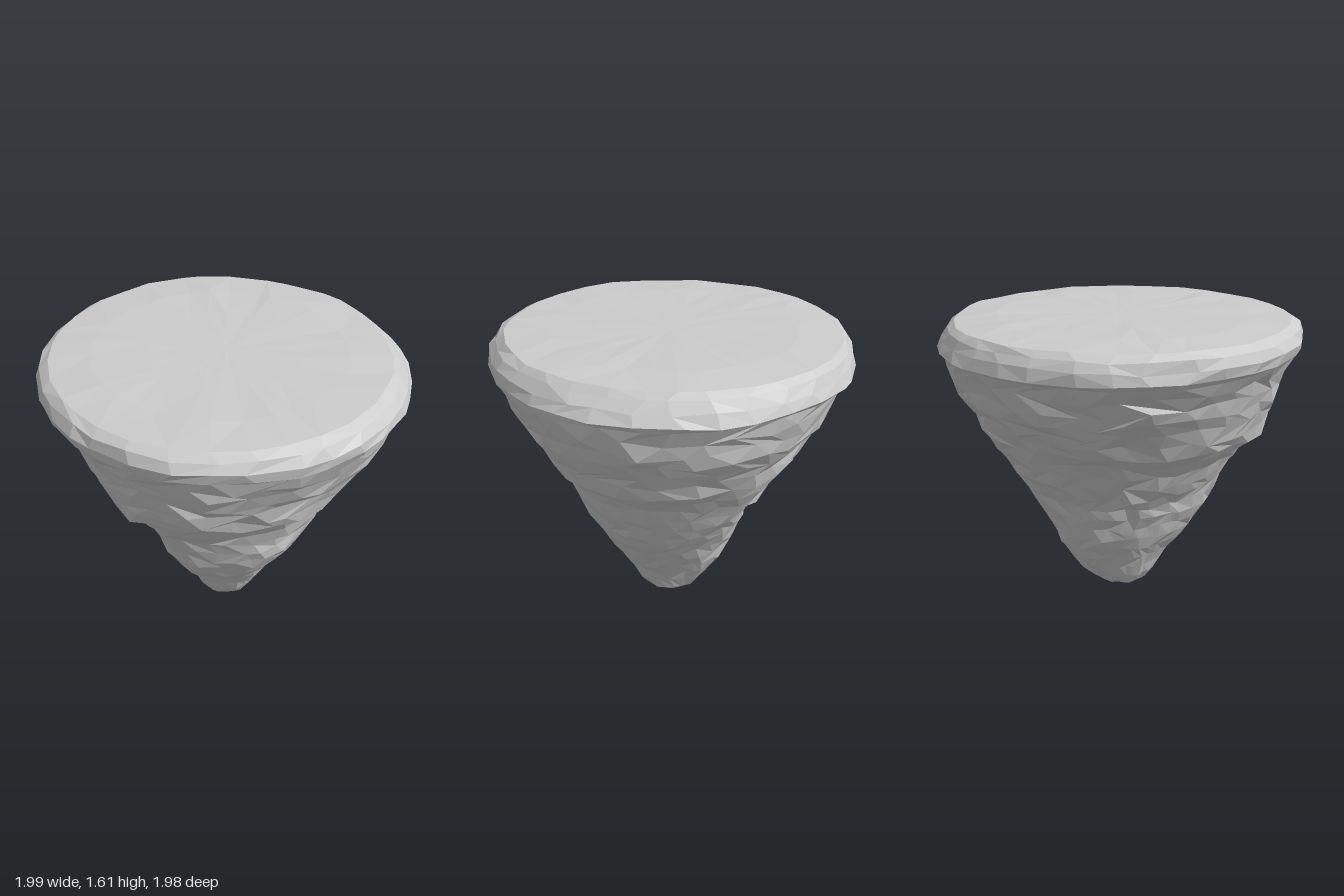
import * as THREE from 'three';

// Radius towards +x, +z, -x, -z at each height
const PROFILE = [
  [0.0, 0.08, 0.09, 0.07, 0.06],
  [0.025, 0.14, 0.17, 0.14, 0.11],
  [0.1, 0.24, 0.215, 0.19, 0.19],
  [0.2, 0.29, 0.27, 0.23, 0.27],
  [0.3, 0.35, 0.34, 0.30, 0.33],
  [0.4, 0.42, 0.44, 0.36, 0.37],
  [0.6, 0.57, 0.565, 0.44, 0.45],
  [0.8, 0.67, 0.6, 0.56, 0.59],
  [1.0, 0.80, 0.77, 0.74, 0.73],
  [1.2, 0.91, 0.84, 0.84, 0.85],
  [1.3, 0.95, 0.90, 0.88, 0.91],
  [1.425, 0.965, 0.95, 0.95, 0.955],
];
// Overhanging rim and the rounded edge above it
const RIM = [
  [1.45, 0.99, 0.985, 0.985, 0.99],
  [1.505, 0.95, 0.99, 0.995, 0.965],
  [1.555, 0.9, 0.965, 0.975, 0.94],
  [1.587, 0.86, 0.91, 0.93, 0.91],
];
// Fullness of the four diagonals, low down and at the rim
const LOWER_DIAGONAL = [0.92, 1.11, 0.93, 1.01];
const RIM_DIAGONAL = [0.99, 1.02, 1.0, 0.985];
const SEG = 32;

let seed = 11;
const rand = () => {
  seed = (seed * 16807) % 2147483647;
  return seed / 2147483647;
};
const jitter = (a) => (rand() * 2 - 1) * a;

// Interpolated profile row at height y
function rowAt(y) {
  let i = 0;
  while (i < PROFILE.length - 2 && PROFILE[i + 1][0] < y) i++;
  const a = PROFILE[i], b = PROFILE[i + 1];
  const t = (y - a[0]) / (b[0] - a[0]);
  return a.map((v, k) => v + (b[k] - v) * t);
}

// Radius of a row at an angle, blending the four axes and four diagonals
function radiusAt(row, angle) {
  const u = ((angle / (Math.PI / 4)) % 8 + 8) % 8;
  const k = Math.floor(u), t = u - k;
  const s = t * t * (3 - 2 * t);
  const blend = THREE.MathUtils.smoothstep(row[0], 0.8, 1.42);
  const value = (n) => {
    n %= 8;
    const q = n >> 1;
    if (n % 2 === 0) return row[1 + q];
    const f = THREE.MathUtils.lerp(LOWER_DIAGONAL[q], RIM_DIAGONAL[q], blend);
    return f * (row[1 + q] + row[1 + (q + 1) % 4]) / 2;
  };
  return value(k) * (1 - s) + value(k + 1) * s;
}

// One ring of points, roughened in radius, angle and height
function ring(row, rough, lift, turn = 0) {
  const points = [];
  for (let i = 0; i < SEG; i++) {
    const a = ((i + turn + jitter(0.25)) / SEG) * Math.PI * 2;
    const r = radiusAt(row, a) + jitter(rough);
    const y = row[0] + jitter(lift) + 0.4 * lift * Math.sin(a * 3 + row[0] * 9);
    points.push([Math.cos(a) * r, Math.max(0, y), Math.sin(a) * r]);
  }
  return points;
}

// Skin stacked rings (low to high, or outside to inside), optionally closing the ends
function skin(rings, startPoint, endPoint) {
  const pos = rings.flat(2), index = [];
  for (let j = 0; j < rings.length - 1; j++) {
    for (let i = 0; i < SEG; i++) {
      const n = (i + 1) % SEG;
      const a = j * SEG + i, b = j * SEG + n, c = a + SEG, d = b + SEG;
      if (rand() < 0.5) index.push(a, c, b, b, c, d);
      else index.push(a, c, d, a, d, b);
    }
  }
  const close = (point, first, flip) => {
    const centre = pos.length / 3;
    pos.push(...point);
    for (let i = 0; i < SEG; i++) {
      const a = first + i, b = first + (i + 1) % SEG;
      index.push(...(flip ? [a, b, centre] : [b, a, centre]));
    }
  };
  if (startPoint) close(startPoint, 0, true);
  if (endPoint) close(endPoint, (rings.length - 1) * SEG, false);
  const geometry = new THREE.BufferGeometry();
  geometry.setAttribute('position', new THREE.Float32BufferAttribute(pos, 3));
  geometry.setIndex(index);
  // Separate faces give faceted normals
  const faceted = geometry.toNonIndexed();
  faceted.computeVertexNormals();
  return faceted;
}

export function createModel() {
  const stone = new THREE.MeshStandardMaterial({ color: 0xcccccc });
  stone.name = 'stone';
  const model = new THREE.Group();
  model.name = 'rock';
  const add = (name, geometry) => {
    const mesh = new THREE.Mesh(geometry, stone);
    mesh.name = name;
    model.add(mesh);
  };

  // Tapering body with shallow, uneven ledges that fade out towards the foot
  const body = [ring(PROFILE[0], 0.003, 0), ring(PROFILE[1], 0.004, 0.004)];
  const layers = 18;
  for (let j = 0; j <= layers; j++) {
    const y = 0.09 + (1.425 - 0.09) * (j / layers);
    const row = rowAt(y);
    const fade = Math.min(1, y);
    const ledge = (j % 3 === 0 ? 0.006 : -0.003) * fade;
    for (let k = 1; k < 5; k++) row[k] += ledge;
    const lift = j === layers ? 0.006 : 0.008 + 0.012 * fade;
    body.push(ring(row, 0.004 + 0.008 * fade, lift, (j % 2) * 0.5));
  }
  add('rockBody', skin(body, [0, 0, 0]));

  // Rim, starting with a short overhang above the body
  const neck = body[body.length - 1];
  const rim = [neck, ...RIM.map((row, j) => ring(row, 0.007, j === 3 ? 0.004 : 0.008))];
  add('rim', skin(rim));

  // Nearly flat, faintly uneven top
  const edge = rim[rim.length - 1];
  const top = [edge];
  for (const s of [0.75, 0.45, 0.2]) {
    top.push(edge.map(([x, , z]) => [
      x * s + jitter(0.03 * s), 1.598 + jitter(0.006 * s) - 0.008 * z * s, z * s + jitter(0.03 * s),
    ]));
  }
  add('topSurface', skin(top, null, [0, 1.598, 0]));
  return model;
}
